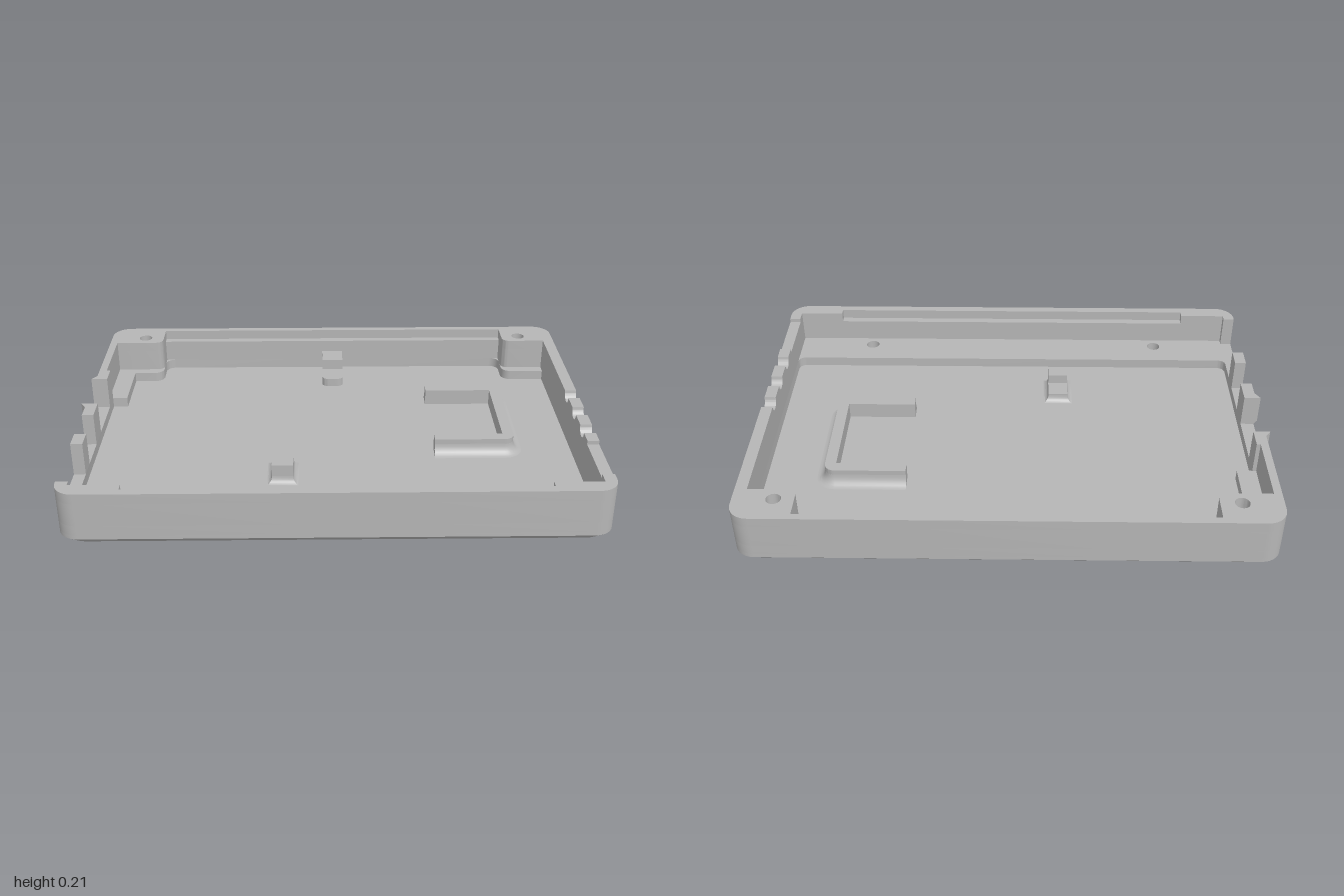
import * as THREE from 'three';
import { toCreasedNormals } from 'three/addons/utils/BufferGeometryUtils.js';
import { ConvexGeometry } from 'three/addons/geometries/ConvexGeometry.js';

const R = 0.075; // outer corner radius
const H = 0.21; // rim height
const FLOOR = 0.04, LEDGE = 0.08, LIP = 0.17;

// closed outline from [x, z, cornerRadius] points
function outline(points) {
  const shape = new THREE.Shape();
  const v = points.map(p => new THREE.Vector2(p[0], -p[1]));
  const n = v.length, k = 0.5523;
  for (let i = 0; i < n; i++) {
    const c = v[i], r = points[i][2] || 0;
    const toward = (q, d) => c.clone().add(q.clone().sub(c).setLength(d));
    const prev = v[(i + n - 1) % n], next = v[(i + 1) % n];
    const a = r ? toward(prev, r) : c;
    if (i) shape.lineTo(a.x, a.y); else shape.moveTo(a.x, a.y);
    if (r) {
      const b = toward(next, r), c1 = toward(prev, r * (1 - k)), c2 = toward(next, r * (1 - k));
      shape.bezierCurveTo(c1.x, c1.y, c2.x, c2.y, b.x, b.y);
    }
  }
  shape.closePath();
  return shape;
}

// horizontal slab between two heights, with round holes [x, z]
function slab(points, y0, y1, holes = [], holeRadius = 0.028) {
  const shape = outline(points);
  for (const [x, z] of holes) shape.holes.push(new THREE.Path().absarc(x, -z, holeRadius, 0, Math.PI * 2, true));
  const geo = new THREE.ExtrudeGeometry(shape, { depth: y1 - y0, bevelEnabled: false, curveSegments: 8 });
  return geo.rotateX(-Math.PI / 2).translate(0, y0, 0);
}

// profile drawn as (-z, y), extruded from x0 to x1
function sideExtrude(shape, x0, x1) {
  const geo = new THREE.ExtrudeGeometry(shape, { depth: x1 - x0, bevelEnabled: false, curveSegments: 16 });
  return geo.rotateY(Math.PI / 2).translate(x0, 0, 0);
}

// surface through rows of [x, y, z] sections
function loft(rows) {
  const w = rows[0].length, index = [];
  for (let i = 0; i + 1 < rows.length; i++) {
    for (let j = 0; j + 1 < w; j++) {
      const a = i * w + j, b = a + 1, c = a + w, d = c + 1;
      index.push(a, c, b, b, c, d);
    }
  }
  const geo = new THREE.BufferGeometry();
  geo.setAttribute('position', new THREE.Float32BufferAttribute(rows.flat(2), 3));
  geo.setIndex(index);
  geo.computeVertexNormals();
  return geo;
}

// concave fillet: sectionAt(offset, height) swept from wall to floor
function fillet(sectionAt, width, height) {
  const rows = [];
  for (let i = 0; i <= 6; i++) {
    const t = (i / 6) * Math.PI / 2;
    rows.push(sectionAt(width * (1 - Math.cos(t)), FLOOR + height * (1 - Math.sin(t))));
  }
  return loft(rows);
}

export function createModel() {
  const model = new THREE.Group();
  model.name = 'enclosureTray';
  const grey = new THREE.MeshStandardMaterial({ color: 0xb6b6b6, side: THREE.DoubleSide });
  grey.name = 'grey plastic';
  const add = (name, geo) => {
    const mesh = new THREE.Mesh(toCreasedNormals(geo, 0.6), grey);
    mesh.name = name;
    model.add(mesh);
  };
  const box = (name, x0, x1, y0, y1, z0, z1) => add(name,
    new THREE.BoxGeometry(x1 - x0, y1 - y0, z1 - z0).translate((x0 + x1) / 2, (y0 + y1) / 2, (z0 + z1) / 2));

  const outer = [[-0.98, -0.713, R], [0.99, -0.713, R], [0.99, 0.713, R], [-0.98, 0.713, R]];
  const backHoles = [[-0.83, -0.607], [0.84, -0.607]];
  const frontHoles = [[-0.63, 0.6], [0.63, 0.6]];
  const allHoles = [...backHoles, ...frontHoles];

  // chamfered underside with screw counterbores
  const base = slab(outer, 0, 0.025, allHoles, 0.048);
  const p = base.attributes.position;
  for (let i = 0; i < p.count; i++) {
    const x = p.getX(i), z = p.getZ(i);
    if (p.getY(i) < 0.01 && (Math.abs(x) > 0.9 || Math.abs(z) > 0.67)) {
      p.setX(i, 0.005 + (x - 0.005) * 0.975);
      p.setZ(i, z * 0.965);
    }
  }
  base.computeVertexNormals();
  add('chamferedBase', base);
  add('floor', slab(outer, 0.025, FLOOR, allHoles, 0.048));

  // lower wall ring with front ledge, corner steps and side rail
  const lower = [[-0.875, -0.515], [-0.75, -0.515, 0.04], [-0.75, -0.655, 0.04], [0.765, -0.655, 0.04],
    [0.765, -0.515, 0.04], [0.945, -0.515], [0.945, 0.49, 0.03], [-0.935, 0.49, 0.03], [-0.935, -0.27], [-0.875, -0.27]];
  const ring = outline(outer);
  ring.holes.push(outline(lower));
  for (const [x, z] of allHoles) ring.holes.push(new THREE.Path().absarc(x, -z, 0.028, 0, Math.PI * 2, true));
  add('lowerWallAndLedge', new THREE.ExtrudeGeometry(ring, { depth: LEDGE - FLOOR, bevelEnabled: false, curveSegments: 8 })
    .rotateX(-Math.PI / 2).translate(0, FLOOR, 0));

  // upper walls, open along the port side
  const portEnd = [[-0.95, -0.555], [-0.95, -0.27], [-0.935, -0.27], [-0.935, -0.19]];
  const bosses = zBack => [[0.945, -0.555], [0.765, -0.555, 0.03], [0.765, zBack], [-0.75, zBack], [-0.75, -0.555, 0.03], ...portEnd];
  add('upperWall', slab([[-0.98, -0.19], ...outer, [-0.98, 0.625], [-0.935, 0.625], [-0.935, 0.65],
    [0.945, 0.65], ...bosses(-0.655)], LEDGE, LIP, backHoles));

  // rim with grooves at the back and front
  add('backRim', slab([[-0.98, -0.19], outer[0], outer[1], [0.99, -0.1], [0.945, -0.1], ...bosses(-0.685)], LIP, H, backHoles));
  add('frontRim', slab([[0.99, 0.62], outer[2], outer[3], [-0.98, 0.625], [-0.935, 0.625], [-0.935, 0.65],
    [-0.75, 0.65], [-0.75, 0.68], [0.765, 0.68], [0.765, 0.65], [0.945, 0.65], [0.945, 0.62]], LIP, H));

  // side rim with round cable notches and a shallow cutout
  const rim = new THREE.Shape();
  rim.moveTo(-0.62, LIP).lineTo(0.1, LIP).lineTo(0.1, H);
  for (const u of [0.024, -0.12, -0.266]) {
    rim.lineTo(u + 0.033, H);
    rim.absarc(u, H, 0.033, 0, Math.PI, true);
  }
  rim.lineTo(-0.36, H).lineTo(-0.36, 0.195).lineTo(-0.6, 0.195).lineTo(-0.6, H).lineTo(-0.62, H).closePath();
  add('notchedRim', sideExtrude(rim, 0.945, 0.99));

  // pillars between the port openings
  for (const [z0, z1] of [[0.03, 0.13], [0.28, 0.36]]) box('portPillar', -0.98, -0.935, LEDGE, H, z0, z1);

  // raised surround of the rear port
  const hull = (name, pts) => add(name, new ConvexGeometry(pts.map(q => new THREE.Vector3(...q))));
  for (const [zOut, zIn] of [[-0.22, -0.19], [0.065, 0.03]]) {
    hull('portSurround', [[-0.979, 0.07, zOut], [-0.979, H, zOut], [-0.979, 0.07, zIn],
      [-0.979, H, zIn], [-1, 0.096, zIn], [-1, H, zIn]]);
  }
  hull('portSill', [-0.19, 0.03].flatMap(z => [[-0.979, 0.07, z], [-0.979, LEDGE, z], [-0.988, LEDGE, z]]));

  // raised plus and minus buttons
  const plus = outline([[-0.05, -0.016], [-0.016, -0.016], [-0.016, -0.054], [0.016, -0.054], [0.016, -0.016], [0.05, -0.016],
    [0.05, 0.016], [0.016, 0.016], [0.016, 0.054], [-0.016, 0.054], [-0.016, 0.016], [-0.05, 0.016]]);
  add('plusButton', sideExtrude(plus, 0.985, 1).translate(0, 0.107, 0.547));
  box('minusButton', 0.985, 1, 0.088, 0.125, 0.378, 0.475);

  // U-shaped bracket with a fillet around its outside
  add('bracket', slab([[0.4, -0.32], [0.715, -0.32, 0.04], [0.715, 0.155, 0.04], [0.4, 0.155],
    [0.4, 0.11], [0.672, 0.11], [0.672, -0.275], [0.4, -0.275]], FLOOR, 0.105));
  add('bracketFillet', fillet((d, y) => {
    const r = 0.04 + d, row = [[0.4, FLOOR, -0.32], [0.4, y, -0.32 - d]];
    for (const [zc, start] of [[-0.28, -90], [0.115, 0]]) {
      for (let i = 0; i <= 6; i++) {
        const a = (start + i * 15) * Math.PI / 180;
        row.push([0.675 + r * Math.cos(a), y, zc + r * Math.sin(a)]);
      }
    }
    row.push([0.4, y, 0.155 + d], [0.4, FLOOR, 0.155]);
    return row;
  }, 0.035, 0.045));

  // stepped support block with flared foot
  box('supportBlock', -0.235, -0.155, FLOOR, 0.075, 0.235, 0.315);
  box('supportStop', -0.235, -0.155, FLOOR, 0.115, 0.315, 0.365);
  add('supportFoot', fillet((d, y) => [[-0.235 - d, y, 0.235 - d], [-0.155 + d, y, 0.235 - d],
    [-0.155 + d, y, 0.365 + d], [-0.235 - d, y, 0.365 + d], [-0.235 - d, y, 0.235 - d]], 0.02, 0.03));

  // stepped rest on the back wall
  add('rearRest', slab([[-0.04, -0.657], [0.05, -0.657], [0.05, -0.455, 0.025], [-0.04, -0.455, 0.025]], FLOOR, 0.075));
  box('rearStop', -0.04, 0.05, 0.075, 0.12, -0.657, -0.555);

  return model;
}
